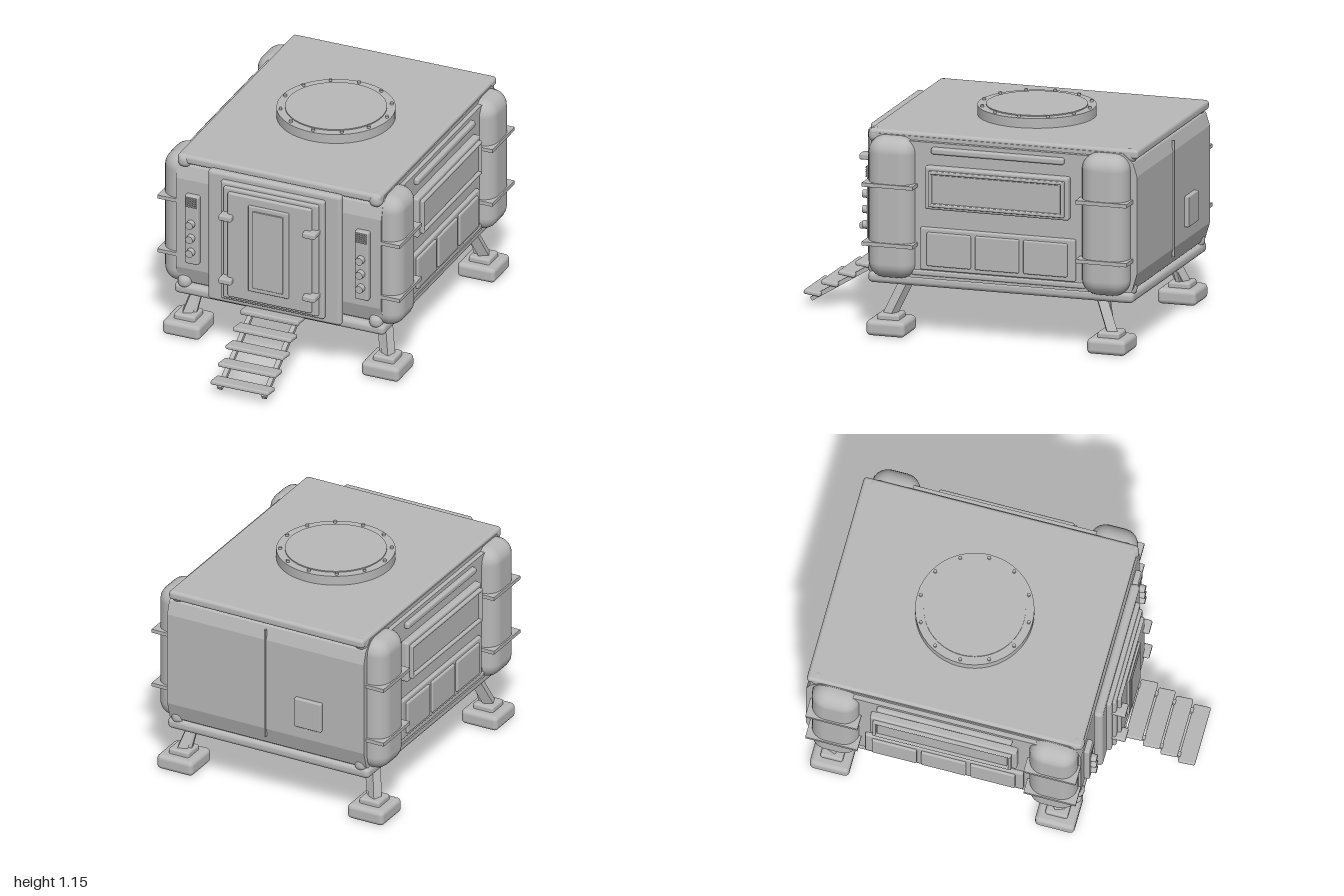
import * as THREE from 'three';
import { RoundedBoxGeometry } from 'three/addons/geometries/RoundedBoxGeometry.js';

export function createModel() {
  const model = new THREE.Group();
  model.name = 'habitatModule';
  const grey = new THREE.MeshStandardMaterial({ color: 0xb8b8b8 });
  grey.name = 'hull grey';

  const add = (name, geometry, parent = model) => {
    const mesh = new THREE.Mesh(geometry, grey);
    mesh.name = name;
    parent.add(mesh);
    return mesh;
  };
  // Box from its limits on each axis; r rounds the edges
  const box = (name, x0, x1, y0, y1, z0, z1, r = 0, parent = model) => {
    const w = x1 - x0, h = y1 - y0, d = z1 - z0;
    const g = r ? new RoundedBoxGeometry(w, h, d, 3, r) : new THREE.BoxGeometry(w, h, d);
    const mesh = add(name, g, parent);
    mesh.position.set((x0 + x1) / 2, (y0 + y1) / 2, (z0 + z1) / 2);
    return mesh;
  };
  // Square bar between two points
  const bar = (name, a, b, w, d, parent = model) => {
    const p = new THREE.Vector3(...a), q = new THREE.Vector3(...b);
    const mesh = add(name, new THREE.BoxGeometry(w, p.distanceTo(q), d), parent);
    mesh.position.copy(p).add(q).multiplyScalar(0.5);
    mesh.quaternion.setFromUnitVectors(new THREE.Vector3(0, 1, 0), q.sub(p).normalize());
    return mesh;
  };
  const mirrored = (from, to) => (s, a, b) => s > 0 ? [a, b] : [-b, -a];
  const side = mirrored();

  // Hull with sloped front and back edges, extruded across x
  const profile = new THREE.Shape([
    [0.42, 0.3], [0.47, 0.34], [0.5, 0.43], [0.5, 0.95], [0.48, 1.02], [0.44, 1.07],
    [-0.9, 1.07], [-0.955, 1.02], [-0.977, 0.95], [-0.977, 0.43], [-0.95, 0.34], [-0.9, 0.3],
  ].map(([z, y]) => new THREE.Vector2(z, y)));
  const hull = new THREE.ExtrudeGeometry(profile, { depth: 1.17, bevelEnabled: false });
  hull.translate(0, 0, -0.585).rotateY(-Math.PI / 2);
  add('hull', hull);
  box('sideWalls', -0.61, 0.61, 0.32, 1.05, -0.72, 0.27);
  box('roof', -0.58, 0.58, 1.04, 1.09, -0.978, 0.5, 0.018);
  box('floorFrame', -0.6, 0.6, 0.27, 0.33, -0.958, 0.5, 0.025);

  // Roof hatch with a ring of bolts
  const disc = (name, r, y0, y1, x, z, n = 48) => {
    const mesh = add(name, new THREE.CylinderGeometry(r, r, y1 - y0, n));
    mesh.position.set(x, (y0 + y1) / 2, z);
  };
  disc('hatchRim', 0.31, 1.08, 1.142, 0, -0.228);
  disc('hatchLid', 0.265, 1.14, 1.148, 0, -0.228);
  for (let i = 0; i < 12; i++) {
    const a = i * Math.PI / 6;
    disc('hatchBolt', 0.009, 1.14, 1.154, 0.29 * Math.cos(a), -0.228 + 0.29 * Math.sin(a), 10);
  }

  // Stepped front door: half width, bottom, top, front
  [
    ['doorFrame', 0.38, 0.31, 1.07, 0.56, 0.02],
    ['doorSurround', 0.295, 0.345, 1.035, 0.585, 0.012],
    ['doorSeal', 0.27, 0.365, 1.015, 0.603, 0.01],
    ['door', 0.238, 0.385, 0.995, 0.622, 0.01],
    ['doorWindowFrame', 0.115, 0.45, 0.95, 0.634, 0.006],
    ['doorWindow', 0.087, 0.475, 0.925, 0.641, 0.004],
  ].forEach(([name, w, y0, y1, z, r]) => box(name, -w, w, y0, y1, z - 0.05, z, r));
  box('doorSill', -0.165, 0.165, 0.293, 0.312, 0.5, 0.62, 0.008);

  for (const s of [1, -1]) {
    const sideBox = (name, a, b, ...rest) => box(name, ...side(s, a, b), ...rest);

    for (const y of [0.485, 0.855])
      sideBox('doorHinge', 0.203, 0.275, y - 0.016, y + 0.016, 0.57, 0.655, 0.008);

    // Control panel with vents and knobs
    sideBox('controlPanel', 0.445, 0.523, 0.475, 0.875, 0.49, 0.53, 0.01);
    for (let i = 0; i < 5; i++)
      sideBox('ventSlat', 0.453, 0.515, 0.812 + i * 0.012, 0.819 + i * 0.012, 0.525, 0.537);
    for (const y of [0.55, 0.632, 0.715]) {
      const knob = add('knob', new THREE.CylinderGeometry(0.021, 0.023, 0.04, 24));
      knob.rotation.x = Math.PI / 2;
      knob.position.set(s * 0.484, y, 0.54);
    }

    // Side window
    sideBox('windowPanel', 0.58, 0.647, 0.7, 0.93, -0.62, 0.17, 0.012);
    for (const [y0, y1] of [[0.718, 0.735], [0.893, 0.91]])
      sideBox('windowRail', 0.64, 0.667, y0, y1, -0.6, 0.145, 0.006);
    for (const z of [-0.6, 0.128])
      sideBox('windowPost', 0.64, 0.667, 0.72, 0.908, z, z + 0.017, 0.006);
    sideBox('windowPane', 0.64, 0.654, 0.74, 0.888, -0.578, 0.122);
    sideBox('sideBar', 0.59, 0.635, 0.992, 1.028, -0.588, 0.14, 0.012);

    // Lower side lockers
    sideBox('lockerPanel', 0.58, 0.63, 0.37, 0.597, -0.65, 0.2, 0.01);
    for (let i = 0; i < 3; i++)
      sideBox('lockerDoor', 0.61, 0.643, 0.395, 0.575, -0.61 + i * 0.265, -0.37 + i * 0.265, 0.008);
    sideBox('lowerSideRail', 0.58, 0.618, 0.335, 0.365, -0.7, 0.25, 0.01);

    // Underside fasteners
    for (let i = 0; i < 6; i++)
      sideBox('floorTab', 0.5, 0.53, 0.26, 0.275, -0.62 + i * 0.15, -0.58 + i * 0.15);

    for (const f of [1, -1]) {
      const corner = new THREE.Group();
      corner.name = (f > 0 ? 'front' : 'back') + (s > 0 ? 'Left' : 'Right') + 'Corner';
      model.add(corner);
      // Limits along z, measured outward from the middle of the hull
      const part = (name, x0, x1, y0, y1, d0, d1, r) => {
        const [z0, z1] = side(f, d0, d1);
        return box(name, ...side(s, x0, x1), y0, y1, z0 - 0.227, z1 - 0.227, r, corner);
      };

      // Rounded corner pod with two straps
      part('cornerPod', 0.45, 0.682, 0.31, 1.067, 0.457, 0.714, 0.085);
      for (const y of [0.5, 0.815])
        part('podStrap', 0.56, 0.69, y - 0.01, y + 0.01, 0.447, 0.727);
      part('topCap', 0.508, 0.582, 1.015, 1.092, 0.66, 0.735, 0.034);
      part('bottomCap', 0.508, 0.582, 0.305, 0.38, 0.66, 0.735, 0.034);

      // Splayed leg and foot pad
      const at = (x, y, d) => [s * x, y, f * d - 0.227];
      bar('leg', at(0.52, 0.29, 0.53), at(0.574, 0.1, 0.612), 0.052, 0.05, corner);
      bar('legBrace', at(0.505, 0.29, 0.56), at(0.54, 0.1, 0.6), 0.022, 0.03, corner);
      part('ankle', 0.507, 0.627, 0.075, 0.115, 0.545, 0.665, 0.012);
      part('footPad', 0.46, 0.674, 0.004, 0.086, 0.5, 0.712, 0.024);
    }

    // Ladder stringer
    bar('ladderStringer', [s * 0.126, 0.295, 0.54], [s * 0.126, 0.035, 0.965], 0.026, 0.022);
  }

  // Ladder treads
  for (let i = 0; i < 5; i++) {
    const y = 0.306 - i * 0.0585, z = 0.575 + i * 0.0945;
    const tread = box('ladderTread', -0.165, 0.165, y - 0.012, y + 0.012, z - 0.046, z + 0.046, 0.009);
    tread.rotation.x = -0.13;
  }

  // Back seam and access plate
  box('backSeam', -0.004, 0.004, 0.385, 1.01, -0.985, -0.97);
  box('accessPlate', -0.34, -0.18, 0.5, 0.665, -1, -0.97, 0.006);
  return model;
}
